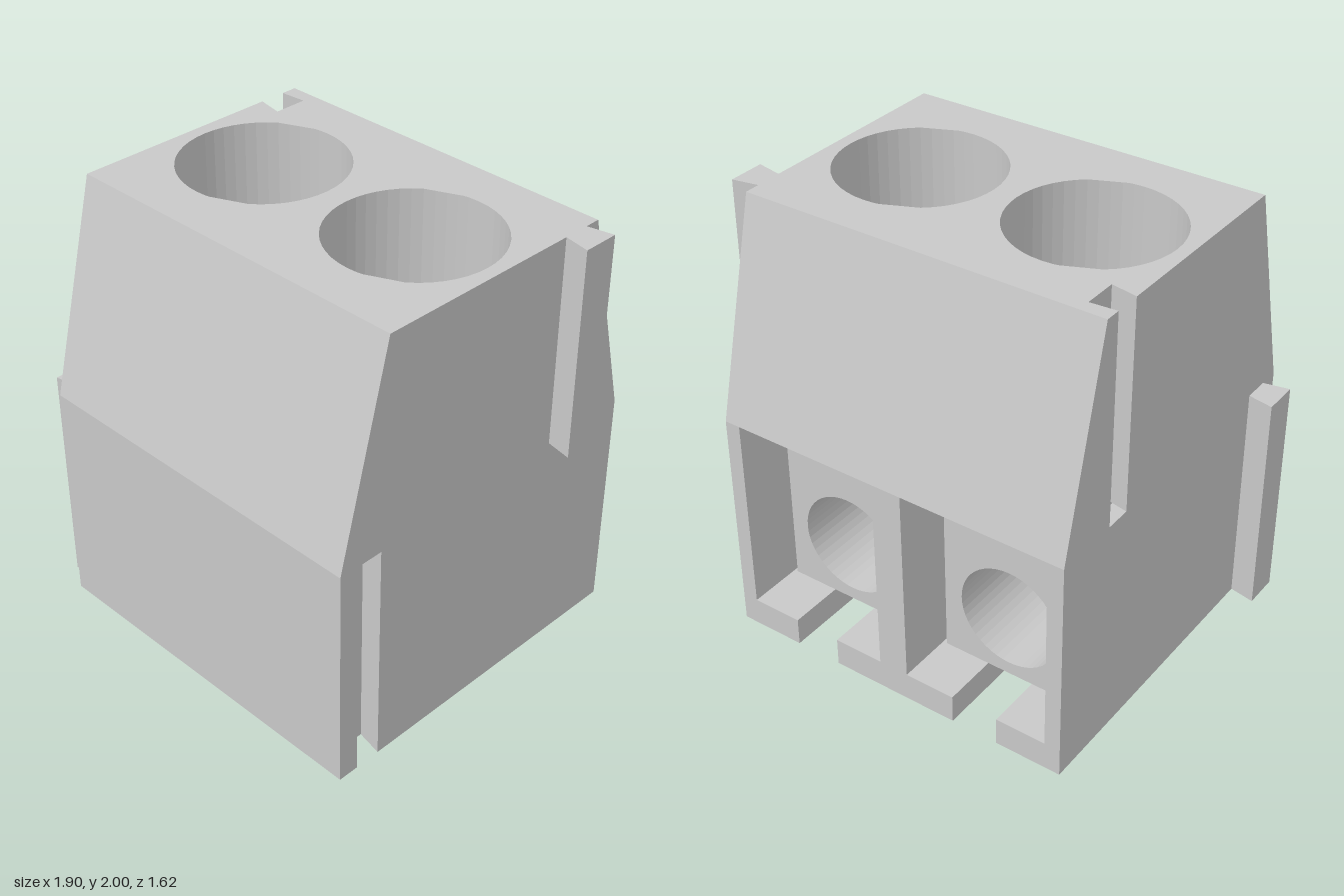
import * as THREE from 'three';

const W = 0.833, D = 0.81, MID = 1.05, TOP = 2, FLOOR = 0.13, BAY = 0.415;
const FRONT_KEY_Z = 0.655, BACK_KEY_Z = -0.44;

// Extrude an outline with an optional round hole [x, y, radius]
function extrude(points, depth, hole) {
  const shape = new THREE.Shape(points.map(([x, y]) => new THREE.Vector2(x, y)));
  if (hole) shape.holes.push(new THREE.Path().absarc(...hole, 0, Math.PI * 2, false));
  return new THREE.ExtrudeGeometry(shape, { depth, bevelEnabled: false, curveSegments: 24 });
}

// Plan outline (x, z) extruded upwards from y0 to y1
function extrudePlan(points, y0, y1, hole) {
  return extrude(points.map(([x, z]) => [x, -z]), y1 - y0, hole)
    .rotateX(-Math.PI / 2).translate(0, y0, 0);
}

// Dovetail section, starting at wall x and flaring to x + dx
const dovetail = (x, dx, z) => [[x, z - 0.06], [x + dx, z - 0.083], [x + dx, z + 0.083], [x, z + 0.06]];

// Lower plan with two notches from the back and a dovetail groove on the left side
function combPlan(inner, outer, notchZ) {
  return [
    [-W, D], [-W, -D],
    [-outer, -D], [-outer, notchZ], [-inner, notchZ], [-inner, -D],
    [inner, -D], [inner, notchZ], [outer, notchZ], [outer, -D],
    [W, -D], ...dovetail(W, -0.118, FRONT_KEY_Z), [W, D],
  ];
}

// Half of the upper housing with its screw hole, tapered at front and back
function upperHalf(plan, holeX) {
  const geo = extrudePlan(plan, MID, TOP, [holeX, 0, 0.36]);
  const pos = geo.attributes.position;
  for (let i = 0; i < pos.count; i++) {
    const z = pos.getZ(i);
    if (pos.getY(i) > TOP - 0.01 && Math.abs(z) > 0.8) pos.setZ(i, Math.sign(z) * 0.57);
  }
  geo.computeVertexNormals();
  return geo;
}

export function createModel() {
  const model = new THREE.Group();
  const grey = new THREE.MeshStandardMaterial({ color: 0xc8c8c8 });
  grey.name = 'grey';

  const add = (name, geo) => {
    const mesh = new THREE.Mesh(geo, grey);
    mesh.name = name;
    model.add(mesh);
  };

  // Slotted floor and the walls around the two bays
  add('floor', extrudePlan(combPlan(0.305, 0.525, 0.135), 0, FLOOR));
  add('lowerWalls', extrudePlan(combPlan(0.07, 0.76, 0.55), FLOOR, MID));

  // Upper housing, grooved on the right side
  add('leftUpperHousing', upperHalf([[0, D], [W, D], [W, -D], [0, -D]], BAY));
  add('rightUpperHousing', upperHalf(
    [[0, D], [0, -D], [-W, -D], ...dovetail(-W, 0.118, BACK_KEY_Z), [-W, D]], -BAY));

  // Dovetail rails
  add('leftRail', extrudePlan(dovetail(W, 0.117, BACK_KEY_Z), MID, TOP));
  add('rightRail', extrudePlan(dovetail(-W, -0.117, FRONT_KEY_Z), 0, MID));

  // Clamp block with wire bore and a seat under the screw hole, one set in each bay
  for (const side of [-1, 1]) {
    const prefix = side > 0 ? 'left' : 'right';
    const block = [[-0.32, 0.14], [0.32, 0.14], [0.32, 1.03], [-0.32, 1.03]];
    add(prefix + 'Clamp', extrude(block, 1.105, [0, 0.435, 0.237]).translate(side * BAY, 0, -0.565));
    add(prefix + 'ScrewSeat', new THREE.CylinderGeometry(0.36, 0.36, 0.04, 48).translate(side * BAY, MID + 0.021, 0));
  }
  return model;
}
